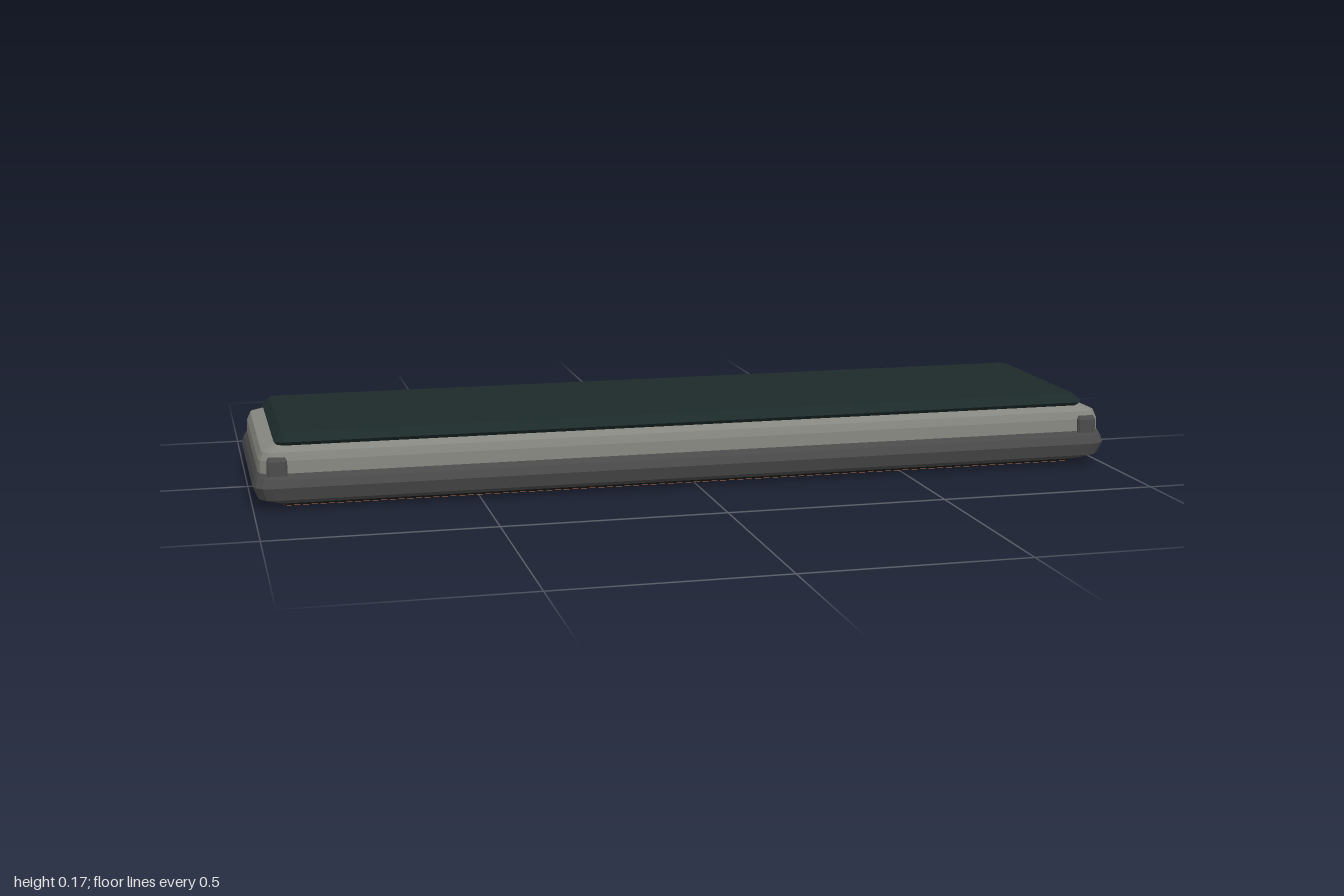
import * as THREE from 'three';

const mat = (name, color) => {
  const m = new THREE.MeshStandardMaterial({ color });
  m.name = name;
  return m;
};

// One rounded-rectangle ring; corners have `seg` facets.
function ring(hx, hz, r, y, seg) {
  const pts = [];
  for (let q = 0; q < 4; q++) {
    const sx = q === 0 || q === 3 ? 1 : -1;
    const sz = q < 2 ? 1 : -1;
    for (let i = 0; i <= seg; i++) {
      const a = (q + i / seg) * Math.PI / 2;
      pts.push(new THREE.Vector3(sx * (hx - r) + r * Math.cos(a), y, sz * (hz - r) + r * Math.sin(a)));
    }
  }
  return pts;
}

// Closed faceted solid through a profile of [y, halfX, halfZ, cornerRadius].
function loft(profile, seg) {
  const rings = profile.map(([y, hx, hz, r]) => ring(hx, hz, r, y, seg));
  const pos = [];
  const tri = (...v) => v.forEach(p => pos.push(p.x, p.y, p.z));
  const n = rings[0].length;
  const bottom = new THREE.Vector3(0, profile[0][0], 0);
  const top = new THREE.Vector3(0, profile[profile.length - 1][0], 0);
  const last = rings[rings.length - 1];
  for (let i = 0; i < n; i++) {
    const j = (i + 1) % n;
    for (let k = 0; k < rings.length - 1; k++) {
      const lo = rings[k], hi = rings[k + 1];
      tri(lo[i], hi[i], hi[j]);
      tri(lo[i], hi[j], lo[j]);
    }
    tri(bottom, rings[0][i], rings[0][j]);
    tri(top, last[j], last[i]);
  }
  const g = new THREE.BufferGeometry();
  g.setAttribute('position', new THREE.Float32BufferAttribute(pos, 3));
  g.computeVertexNormals();
  return g;
}

export function createModel() {
  const model = new THREE.Group();
  const lightGrey = mat('light grey', 0x868780);
  const darkGrey = mat('dark grey', 0x4c4c4c);
  const slate = mat('dark slate', 0x1d2a2a);
  const black = mat('near black', 0x1c2020);
  const brown = mat('copper brown', 0xd0744c);

  const add = (name, geometry, material) => {
    const mesh = new THREE.Mesh(geometry, material);
    mesh.name = name;
    model.add(mesh);
    return mesh;
  };

  // Underside: thin brown plate in a black rim
  add('bottomPlate', loft([[0, 0.932, 0.204, 0.008], [0.005, 0.932, 0.204, 0.008]], 1), brown);
  add('bottomRim', loft([
    [0.002, 0.932, 0.207, 0.02], [0.004, 0.944, 0.217, 0.025], [0.014, 0.957, 0.23, 0.03],
  ], 2), black);

  // Lower and upper halves of the casing
  add('lowerCasing', loft([
    [0.01, 0.953, 0.225, 0.025], [0.025, 0.988, 0.26, 0.035], [0.054, 1, 0.27, 0.04],
    [0.072, 0.995, 0.265, 0.04], [0.084, 0.988, 0.259, 0.035],
  ], 3), darkGrey);
  add('upperCasing', loft([
    [0.082, 0.987, 0.257, 0.035], [0.112, 0.986, 0.256, 0.035],
    [0.13, 0.978, 0.25, 0.03], [0.14, 0.95, 0.225, 0.02],
  ], 3), lightGrey);

  // Raised top panel with a bevelled edge
  add('topPanel', loft([
    [0.138, 0.942, 0.224, 0.012], [0.148, 0.95, 0.233, 0.015], [0.167, 0.932, 0.215, 0.008],
  ], 1), slate);

  // Small latches near the four corners
  for (const sx of [-1, 1]) {
    for (const sz of [-1, 1]) {
      const latch = add('cornerLatch',
        loft([[0, 0.022, 0.014, 0.004], [0.032, 0.022, 0.014, 0.004], [0.04, 0.018, 0.009, 0.003]], 1), darkGrey);
      latch.position.set(sx * 0.947, 0.08, sz * 0.251);
    }
  }
  return model;
}
